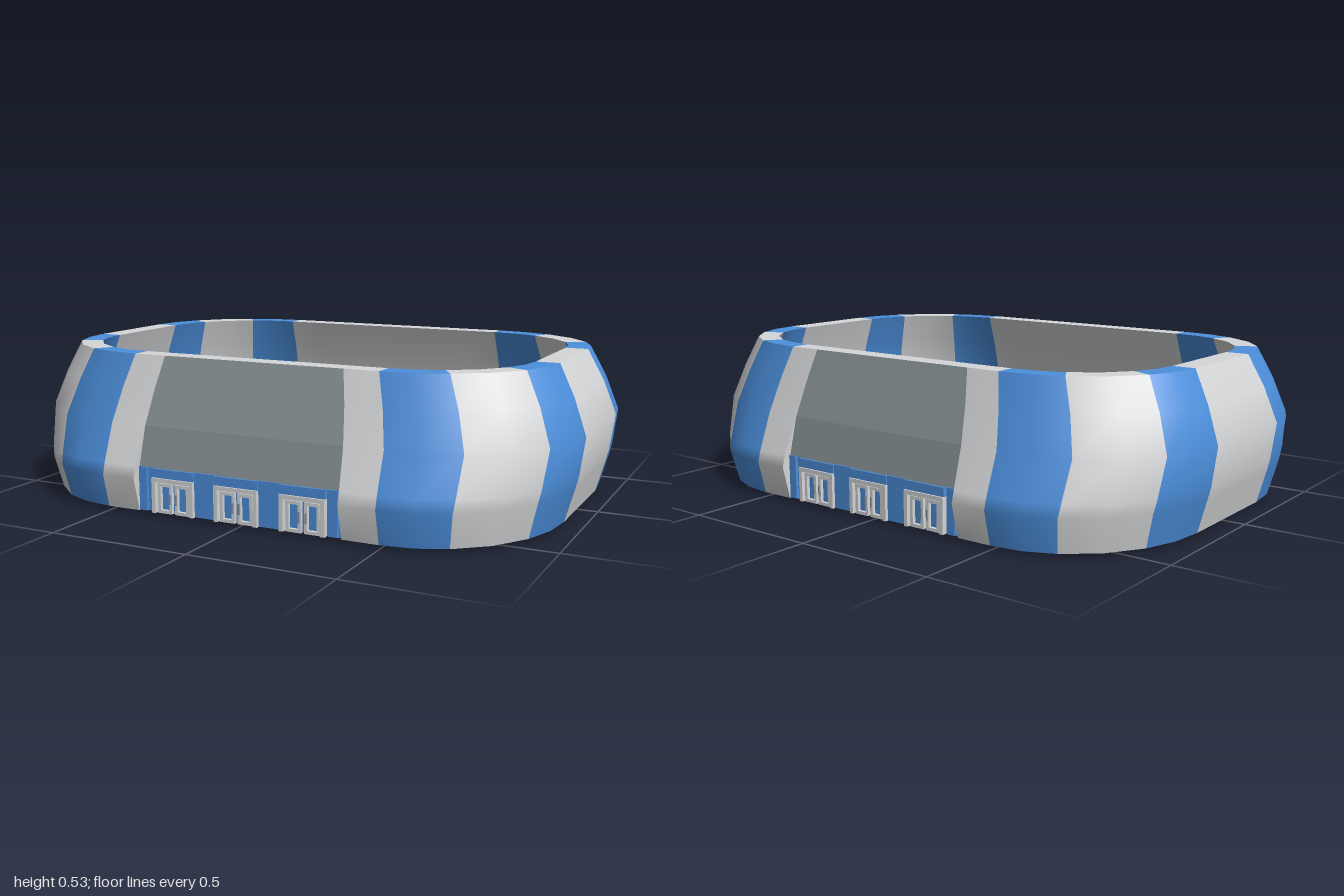
import * as THREE from 'three';
import { mergeGeometries } from 'three/addons/utils/BufferGeometryUtils.js';

const mat = (name, color, side = THREE.FrontSide) => {
  const m = new THREE.MeshStandardMaterial({ color, side });
  m.name = name;
  return m;
};

export function createModel() {
  const D = THREE.DoubleSide;
  const white = mat('white', 0xd6d7d9, D), blue = mat('blue', 0x4c8fdc, D), slate = mat('slate grey', 0x879196, D);
  const orange = mat('orange', 0xc8642f), grass = mat('light grass', 0x769d4b);
  const turf = mat('dark turf', 0x4f874a), steel = mat('goal grey', 0x8c8c8c);

  const model = new THREE.Group();
  model.name = 'stadium';
  const add = (parent, name, geo, m, x = 0, y = 0, z = 0) => {
    const mesh = new THREE.Mesh(geo, m);
    mesh.name = name;
    mesh.position.set(x, y, z);
    parent.add(mesh);
    return mesh;
  };
  const box = (parent, name, m, w, h, d, x, y, z) => add(parent, name, new THREE.BoxGeometry(w, h, d), m, x, y, z);

  // Surface through rows of points; pick(column) gives a material index, or -1 for a gap
  function grid(rows, closed, pick = () => 0) {
    const n = rows[0].length, geo = new THREE.BufferGeometry(), index = [];
    geo.setAttribute('position', new THREE.Float32BufferAttribute(rows.flat(2), 3));
    for (let k = 0; k < 2; k++) {
      const start = index.length;
      for (let c = 0; c < (closed ? n : n - 1); c++) {
        if (pick(c) !== k) continue;
        for (let r = 0; r < rows.length - 1; r++) {
          const a = r * n + c, b = r * n + (c + 1) % n;
          index.push(a, a + n, b, b, a + n, b + n);
        }
      }
      geo.addGroup(start, index.length - start, k);
    }
    geo.setIndex(index);
    geo.computeVertexNormals();
    return geo;
  }

  // Rounded rectangle outline: half sizes X, Z, straight half lengths sx, sz, panel half width p
  const ARC = [0, 14, 28, 45, 62, 76, 90];
  function outline([y, X, Z, sx, sz, p]) {
    const q = [[X, 0]];
    for (const t of ARC) {
      const a = THREE.MathUtils.degToRad(t);
      q.push([sx + (X - sx) * Math.cos(a), sz + (Z - sz) * Math.sin(a)]);
    }
    q.push([p, Z]);
    const flip = (pts, fx, fz) => pts.map(([x, z]) => [x * fx, y, z * fz]);
    return [
      ...flip(q, 1, 1), ...flip(q, -1, 1).reverse(),
      ...flip(q.slice(1), -1, -1), ...flip(q.slice(1), 1, -1).reverse(),
    ];
  }
  // Stripe colour of each outline segment: 0 white, 1 blue, -1 entrance panel
  const quarter = [0, 1, 1, 0, 0, 1, 1, 0];
  const half = [...quarter, -1, ...[...quarter].reverse()];
  const stripes = [...half, ...half];
  const open = (c) => stripes[c], filled = (c) => Math.max(stripes[c], 0);

  // Bulging striped shell, flat rim and overhanging inner wall
  const shellLevels = [
    [0.015, 0.94, 0.708, 0.5, 0.22, 0.375],
    [0.13, 0.972, 0.736, 0.5, 0.22, 0.375],
    [0.17, 0.982, 0.725, 0.5, 0.22, 0.375],
    [0.3, 1.0, 0.675, 0.5, 0.22, 0.365],
    [0.42, 0.955, 0.635, 0.478, 0.206, 0.35],
    [0.527, 0.9, 0.6, 0.45, 0.19, 0.33],
  ];
  const rimIn = [0.527, 0.82, 0.53, 0.45, 0.19, 0.33];
  const innerLevels = [rimIn, [0.42, 0.86, 0.57, 0.455, 0.195, 0.33], [0.3, 0.895, 0.605, 0.46, 0.2, 0.33], [0.18, 0.9, 0.63, 0.46, 0.2, 0.33]];
  add(model, 'outerShell', grid(shellLevels.map(outline), true, open), [white, blue]);
  add(model, 'rim', grid([shellLevels[5], rimIn].map(outline), true, filled), [white, blue]);
  add(model, 'innerWall', grid(innerLevels.map(outline), true, filled), [white, blue]);

  // Stepped seating: each riser and tread is its own crisp band
  const bands = [], STEPS = 5;
  const tier = (f, y) => {
    const mix = (a, b) => a + (b - a) * f;
    return [y, mix(0.722, 0.9), mix(0.483, 0.63), mix(0.5, 0.46), mix(0.27, 0.2), 0.33];
  };
  for (let i = 0; i < STEPS; i++) {
    const y = 0.06 + i * 0.024, f = i / STEPS;
    bands.push(grid([tier(f, y), tier(f, y + 0.024)].map(outline), true));
    bands.push(grid([tier(f, y + 0.024), tier((i + 1) / STEPS, y + 0.024)].map(outline), true));
  }
  for (const b of bands) b.clearGroups();
  add(model, 'seatingTiers', mergeGeometries(bands), blue);

  // Low wall round the pitch
  const wall = [[0.012, 0.7, 0.458, 0.5, 0.27, 0.33], [0.06, 0.705, 0.463, 0.5, 0.27, 0.33], [0.06, 0.722, 0.483, 0.5, 0.27, 0.33]];
  add(model, 'pitchWall', grid(wall.slice(0, 2).map(outline), true), [white, blue]);
  add(model, 'pitchWallTop', grid(wall.slice(1).map(outline), true), [white, blue]);
  for (const s of [1, -1]) {
    [-0.4, -0.133, 0.133, 0.4].forEach((x, i) =>
      box(model, 'sideBoard', i % 2 ? blue : orange, 0.125, 0.042, 0.006, x, 0.037, s * 0.457));
  }

  // Pitch and its markings
  box(model, 'grassBase', grass, 1.43, 0.004, 0.98, 0, 0.012, 0);
  box(model, 'playingField', turf, 1.17, 0.003, 0.75, 0, 0.0155, 0);
  const LY = 0.018, W = 0.014;
  const line = (w, d, x, z) => box(model, 'pitchLine', white, w, 0.003, d, x, LY, z);
  line(W, 0.75, 0, 0);
  const flat = (r, start, sweep, x, z) => add(model, 'pitchArc',
    new THREE.RingGeometry(r - W, r, 40, 1, start, sweep).rotateX(-Math.PI / 2), white, x, LY + 0.0016, z);
  flat(0.145, 0, Math.PI * 2, 0, 0);
  for (const s of [1, -1]) {
    line(1.18, W, 0, s * 0.373);
    line(W, 0.75, s * 0.583, 0);
    line(W, 0.3, s * 0.397, 0);
    line(0.19, W, s * 0.487, 0.143);
    line(0.19, W, s * 0.487, -0.143);
    for (const t of [1, -1]) {
      const start = s > 0 ? (t > 0 ? 0.5 : 1) : (t > 0 ? 0 : 1.5);
      flat(0.066, start * Math.PI, Math.PI / 2, s * 0.58, t * 0.37);
    }
  }

  // Goals with bars for the net
  for (const s of [1, -1]) {
    const goal = new THREE.Group();
    goal.name = 'goal';
    const B = 0.005;
    for (const t of [1, -1]) {
      box(goal, 'goalPost', steel, B, 0.07, B, 0.603, 0.035, t * 0.088);
      box(goal, 'goalBaseSide', steel, 0.08, 0.008, B, 0.641, 0.004, t * 0.088);
      box(goal, 'goalTopSide', steel, 0.04, B, B, 0.621, 0.068, t * 0.088);
      const stay = box(goal, 'goalStay', steel, B, 0.078, B, 0.66, 0.035, t * 0.088);
      stay.rotation.z = 0.52;
    }
    box(goal, 'crossbar', steel, B, B, 0.18, 0.603, 0.068, 0);
    box(goal, 'goalBackTop', steel, B, B, 0.18, 0.641, 0.068, 0);
    box(goal, 'goalBaseBack', steel, B, 0.008, 0.18, 0.679, 0.004, 0);
    for (let i = -4; i <= 4; i++) {
      box(goal, 'netCord', steel, 0.002, 0.075, 0.002, 0.66, 0.035, i * 0.0175).rotation.z = 0.52;
    }
    for (let i = 1; i < 4; i++) box(goal, 'netRow', steel, 0.002, 0.002, 0.175, 0.641 + i * 0.0095, 0.068 - i * 0.0165, 0);
    if (s < 0) goal.rotation.y = Math.PI;
    model.add(goal);
  }

  // Entrance on each long side
  for (const s of [1, -1]) {
    const e = new THREE.Group();
    e.name = 'entrance';
    const strip = (a, b) => add(e, 'entrancePanel', grid([a, b].map(([y, z, p]) => [[-p, y, z], [p, y, z]]), false), [slate, blue]);
    strip([0.165, 0.7, 0.375], [0.3, 0.675, 0.365]);
    strip([0.3, 0.675, 0.365], [0.42, 0.635, 0.35]);
    strip([0.42, 0.635, 0.35], [0.527, 0.6, 0.33]);
    // Cheeks closing the step between shell and recess
    const back = [0.69, 0.69, 0.698, 0.675];
    for (const t of [1, -1]) {
      add(e, 'recessCheek', grid(back.map((z, i) => {
        const [y, , Z, , , p] = shellLevels[i];
        return [[t * p, y, z], [t * p, y, Z]];
      }), false), [white, blue]);
    }
    box(e, 'entranceWall', blue, 0.75, 0.152, 0.01, 0, 0.091, 0.689);
    box(e, 'innerLining', orange, 0.74, 0.15, 0.008, 0, 0.091, 0.68);
    for (const x of [-0.36, -0.12, 0.12, 0.345]) {
      const w = Math.abs(x) > 0.2 ? 0.03 : 0.075;
      box(e, 'pillar', blue, w, 0.15, 0.012, x, 0.092, 0.699);
      box(e, 'liningPost', slate, 0.012, 0.15, 0.01, x, 0.091, 0.674);
    }
    // Double doors
    for (const x of [-0.24, 0, 0.24]) {
      box(e, 'doorHeader', blue, 0.16, 0.03, 0.016, x, 0.15, 0.7);
      box(e, 'frameTop', white, 0.16, 0.014, 0.022, x, 0.128, 0.703);
      for (const t of [1, -1]) {
        box(e, 'frameSide', white, 0.014, 0.12, 0.022, x + t * 0.073, 0.075, 0.703);
        const cx = x + t * 0.033;
        for (const u of [1, -1]) {
          box(e, 'leafStile', white, 0.011, 0.1, 0.012, cx + u * 0.022, 0.066, 0.7);
          box(e, 'leafRail', white, 0.054, 0.011, 0.012, cx, 0.066 + u * 0.0455, 0.7);
        }
        box(e, 'doorHandle', slate, 0.005, 0.035, 0.006, x + t * 0.012, 0.066, 0.708);
      }
    }
    if (s < 0) e.rotation.y = Math.PI;
    model.add(e);
  }
  return model;
}
